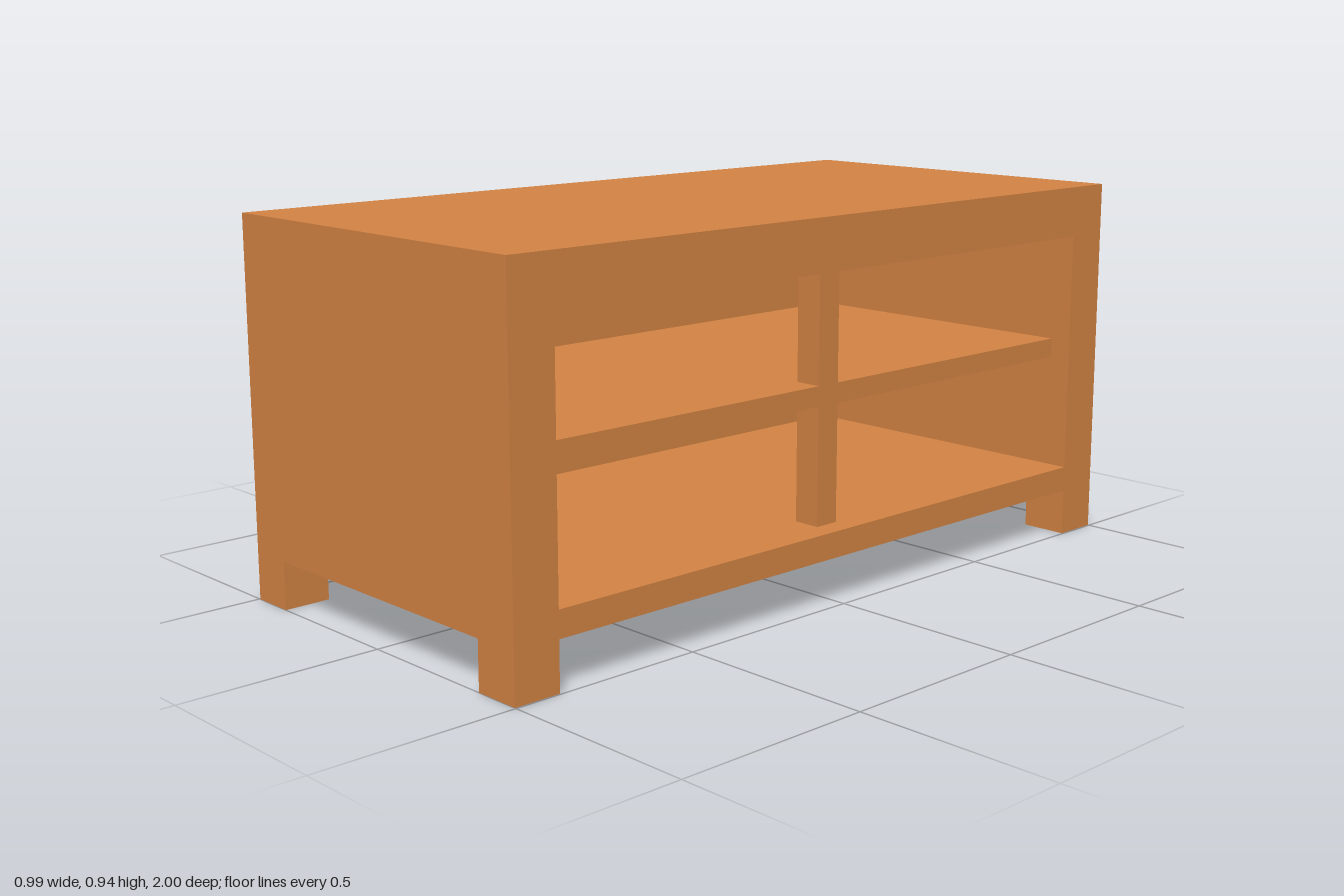
import * as THREE from 'three';

const X0 = -0.497, X1 = 0.497;          // closed back side, open shelf side
const FLOOR = 0.12, TOP = 0.94;         // carcass height range
const IN_Y0 = 0.185, IN_Y1 = 0.81, IN_Z = 0.88; // inside of the compartment
const BACK_X = -0.385, FACE_X = 0.44;   // inner back wall, shelf front edge

const wood = new THREE.MeshStandardMaterial({ color: 0xd68544 });

// Box given by its extents along each axis
function box(name, [xa, xb], [ya, yb], [za, zb]) {
  const mesh = new THREE.Mesh(new THREE.BoxGeometry(xb - xa, yb - ya, zb - za), wood);
  mesh.position.set((xa + xb) / 2, (ya + yb) / 2, (za + zb) / 2);
  mesh.name = name;
  return mesh;
}

function rectangle(path, w, y0, y1) {
  path.moveTo(-w, y0);
  path.lineTo(w, y0);
  path.lineTo(w, y1);
  path.lineTo(-w, y1);
  path.closePath();
  return path;
}

export function createModel() {
  const model = new THREE.Group();
  model.name = 'shelfCabinet';

  // Thick carcass: top, bottom and both ends as one frame extruded along x
  const outline = rectangle(new THREE.Shape(), 1, FLOOR, TOP);
  outline.holes.push(rectangle(new THREE.Path(), IN_Z, IN_Y0, IN_Y1));
  const frameGeometry = new THREE.ExtrudeGeometry(outline, { depth: X1 - X0, bevelEnabled: false });
  frameGeometry.rotateY(Math.PI / 2);
  frameGeometry.translate(X0, 0, 0);
  const frame = new THREE.Mesh(frameGeometry, wood);
  frame.name = 'carcass';
  model.add(frame);

  // Back wall closing the compartment
  model.add(box('backPanel', [X0, BACK_X], [IN_Y0, IN_Y1], [-IN_Z, IN_Z]));

  // Shelf, set slightly behind the opening
  model.add(box('shelf', [BACK_X, FACE_X], [0.48, 0.53], [-IN_Z, IN_Z]));

  // Slim centre posts below and above the shelf
  model.add(box('lowerPost', [0.37, FACE_X], [IN_Y0, 0.48], [-0.033, 0.033]));
  model.add(box('upperPost', [0.37, FACE_X], [0.53, IN_Y1], [-0.033, 0.033]));

  // Four corner legs
  for (const x of [[X0, -0.382], [0.375, X1]]) {
    for (const z of [[-1, -IN_Z], [IN_Z, 1]]) {
      model.add(box('leg', x, [0, FLOOR], z));
    }
  }
  return model;
}
